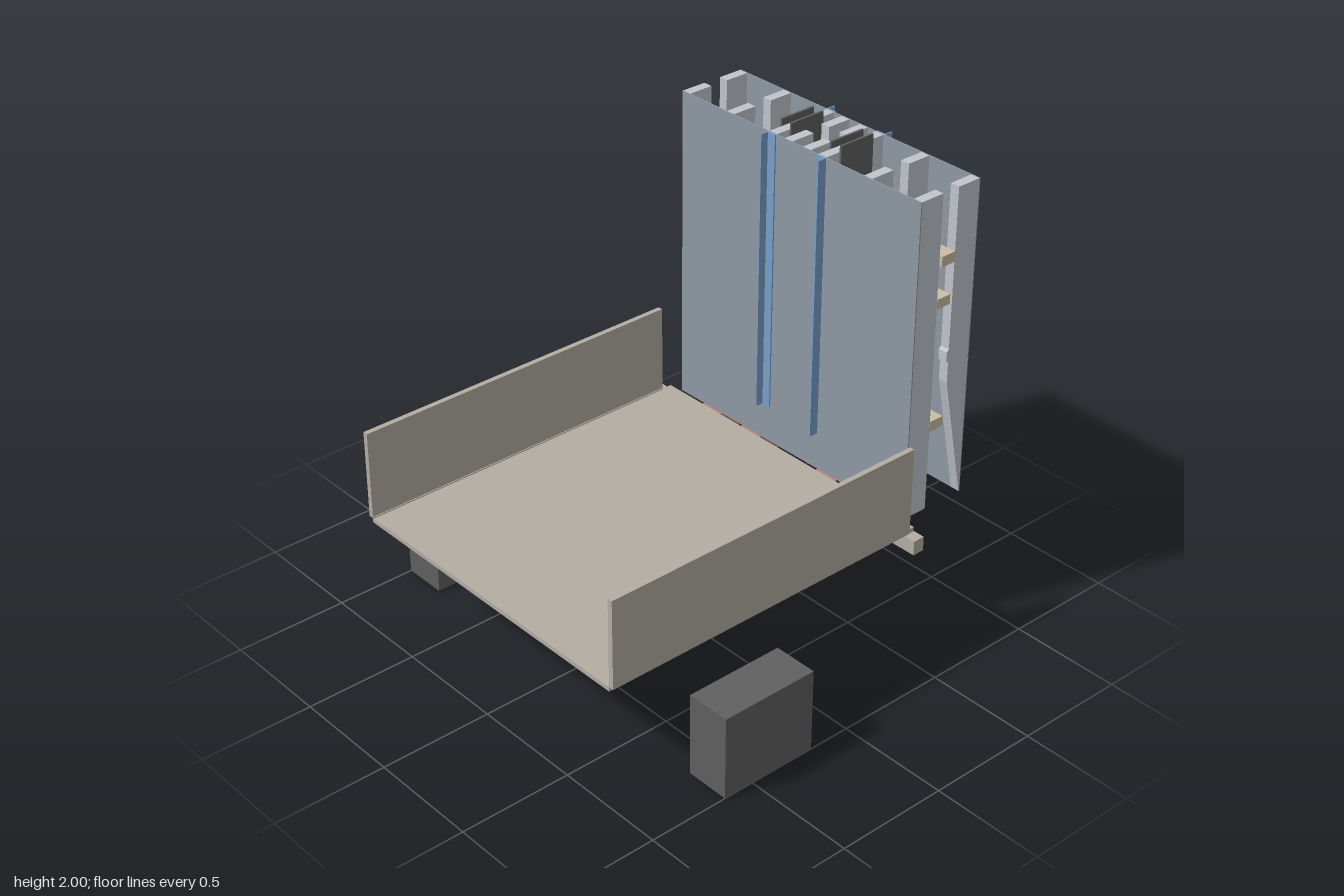
import * as THREE from 'three';

const mat = (name, color) => {
  const m = new THREE.MeshStandardMaterial({ color });
  m.name = name;
  return m;
};

export function createModel() {
  const group = new THREE.Group();
  const deckPaint = mat('warm grey', 0xb3ada3);
  const sheet = mat('slate sheet', 0x8f99a3);
  const stud = mat('light steel', 0xc1c5cc);
  const dark = mat('charcoal', 0x606060);
  const blue = mat('blue', 0x78a0c8);
  const coral = mat('coral', 0xc28478);
  const timber = mat('timber', 0xcbbda3);

  // Box given by its limits on each axis
  const box = (name, m, [x0, x1], [y0, y1], [z0, z1]) => {
    const mesh = new THREE.Mesh(new THREE.BoxGeometry(x1 - x0, y1 - y0, z1 - z0), m);
    mesh.position.set((x0 + x1) / 2, (y0 + y1) / 2, (z0 + z1) / 2);
    mesh.name = name;
    group.add(mesh);
  };
  // The same box on both sides of x = 0
  const pair = (name, m, [x0, x1], y, z) => {
    box(name + 'Left', m, [x0, x1], y, z);
    box(name + 'Right', m, [-x1, -x0], y, z);
  };

  // Trailer bed, sides, rear beam and wheel blocks
  box('deck', deckPaint, [-0.74, 0.74], [0.53, 0.55], [-0.608, 0.983]);
  pair('sideBoard', deckPaint, [0.74, 0.763], [0.55, 0.947], [-0.56, 0.983]);
  pair('sideLip', deckPaint, [0.735, 0.74], [0.55, 0.555], [-0.56, 0.983]);
  box('crossBeam', deckPaint, [-0.795, 0.795], [0.465, 0.53], [-0.61, -0.555]);
  pair('wheel', dark, [0.8, 1], [0, 0.375], [0.19, 0.64]);

  // Upright wall sheets
  box('frontSheet', sheet, [-0.676, 0.676], [0.55, 1.97], [-0.623, -0.618]);
  box('backSheet', sheet, [-0.676, 0.676], [0.55, 1.97], [-0.94, -0.935]);

  // Back studs taper to a point at the foot
  const profile = new THREE.Shape([
    [-0.935, 0.55], [-0.823, 1.11], [-0.823, 1.205], [-0.812, 1.205],
    [-0.812, 1.25], [-0.823, 1.26], [-0.823, 1.97], [-0.935, 1.97],
  ].map(([z, y]) => new THREE.Vector2(z, y)));
  const backStudGeometry = new THREE.ExtrudeGeometry(profile, { depth: 0.043, bevelEnabled: false })
    .rotateY(-Math.PI / 2);
  for (const x of [0.03, 0.118, 0.368, 0.632]) {
    pair('frontStud', stud, [x, x + 0.043], [0.55, 1.97], [-0.738, -0.623]);
    for (const right of [x + 0.043, -x]) {
      const mesh = new THREE.Mesh(backStudGeometry, stud);
      mesh.name = 'backStud';
      mesh.position.x = right;
      group.add(mesh);
    }
  }

  // Timber rails between the two stud rows
  box('upperRail', timber, [-0.676, 0.676], [1.65, 1.695], [-0.823, -0.752]);
  box('middleRail', timber, [-0.676, 0.676], [1.47, 1.513], [-0.81, -0.738]);
  box('lowerRail', timber, [-0.676, 0.676], [0.915, 0.96], [-0.81, -0.738]);

  // Thin dark plates flanking the central studs
  for (const x of [0.108, 0.163]) {
    pair('topPlate', dark, [x, x + 0.01], [1.81, 2], [-0.867, -0.692]);
    pair('lowerPlate', dark, [x, x + 0.01], [0.8, 0.89], [-0.8, -0.692]);
  }

  // Blue angle guides on both wall faces
  pair('frontGuideFin', blue, [0.159, 0.165], [0.72, 1.97], [-0.618, -0.577]);
  pair('frontGuideFlange', blue, [0.118, 0.16], [0.72, 1.97], [-0.618, -0.612]);
  pair('backGuideFin', blue, [0.159, 0.165], [1.15, 1.97], [-0.981, -0.94]);
  pair('backGuideFlange', blue, [0.118, 0.16], [1.15, 1.97], [-0.946, -0.94]);

  // Coral angle brackets hanging below the front studs
  for (const x of [0.172, 0.417]) {
    pair('bracketFlange', coral, [x, x + 0.115], [0.4, 0.55], [-0.618, -0.61]);
    pair('bracketFin', coral, [x, x + 0.008], [0.4, 0.55], [-0.723, -0.61]);
  }

  return group;
}
